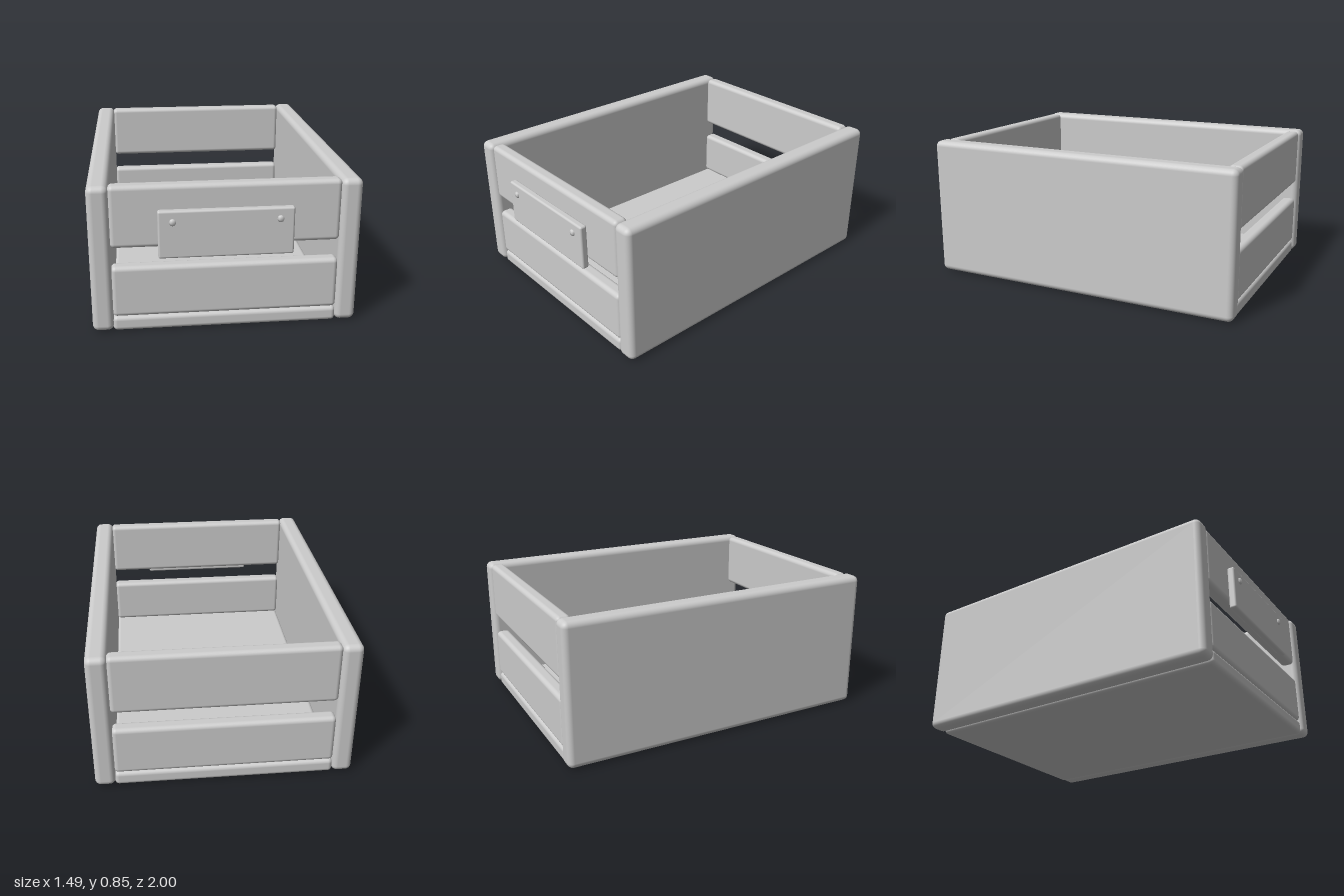
import * as THREE from 'three';
import { RoundedBoxGeometry } from 'three/addons/geometries/RoundedBoxGeometry.js';

export function createModel() {
  const crate = new THREE.Group();
  crate.name = 'crate';
  const grey = new THREE.MeshStandardMaterial({ color: 0xcccccc });
  grey.name = 'plainGrey';

  // Rounded board given by its extents along each axis
  function board(name, [x0, x1], [y0, y1], [z0, z1], radius) {
    const geometry = new RoundedBoxGeometry(x1 - x0, y1 - y0, z1 - z0, 4, radius);
    const mesh = new THREE.Mesh(geometry, grey);
    mesh.name = name;
    mesh.position.set((x0 + x1) / 2, (y0 + y1) / 2, (z0 + z1) / 2);
    crate.add(mesh);
  }

  // Solid side walls
  board('leftSide', [0.625, 0.743], [0.005, 0.85], [-1, 0.957], 0.035);
  board('rightSide', [-0.743, -0.625], [0.005, 0.85], [-1, 0.957], 0.035);

  // Floor panel
  const across = [-0.63, 0.63];
  board('floor', across, [0, 0.086], [-0.99, 0.945], 0.025);

  // Two slats at each end
  for (const [end, depth] of [['front', [0.86, 0.945]], ['back', [-0.99, -0.905]]]) {
    board(end + 'LowerSlat', across, [0.086, 0.385], depth, 0.026);
    board(end + 'UpperSlat', across, [0.495, 0.847], depth, 0.026);
  }

  // Label plate with two small faceted screws
  board('labelPlate', [-0.372, 0.366], [0.445, 0.715], [0.942, 0.985], 0.012);
  for (const x of [-0.293, 0.287]) {
    const screw = new THREE.Mesh(new THREE.SphereGeometry(0.022, 6, 4), grey);
    screw.name = 'screw';
    screw.position.set(x, 0.652, 0.982);
    screw.scale.z = 0.82;
    crate.add(screw);
  }
  return crate;
}
